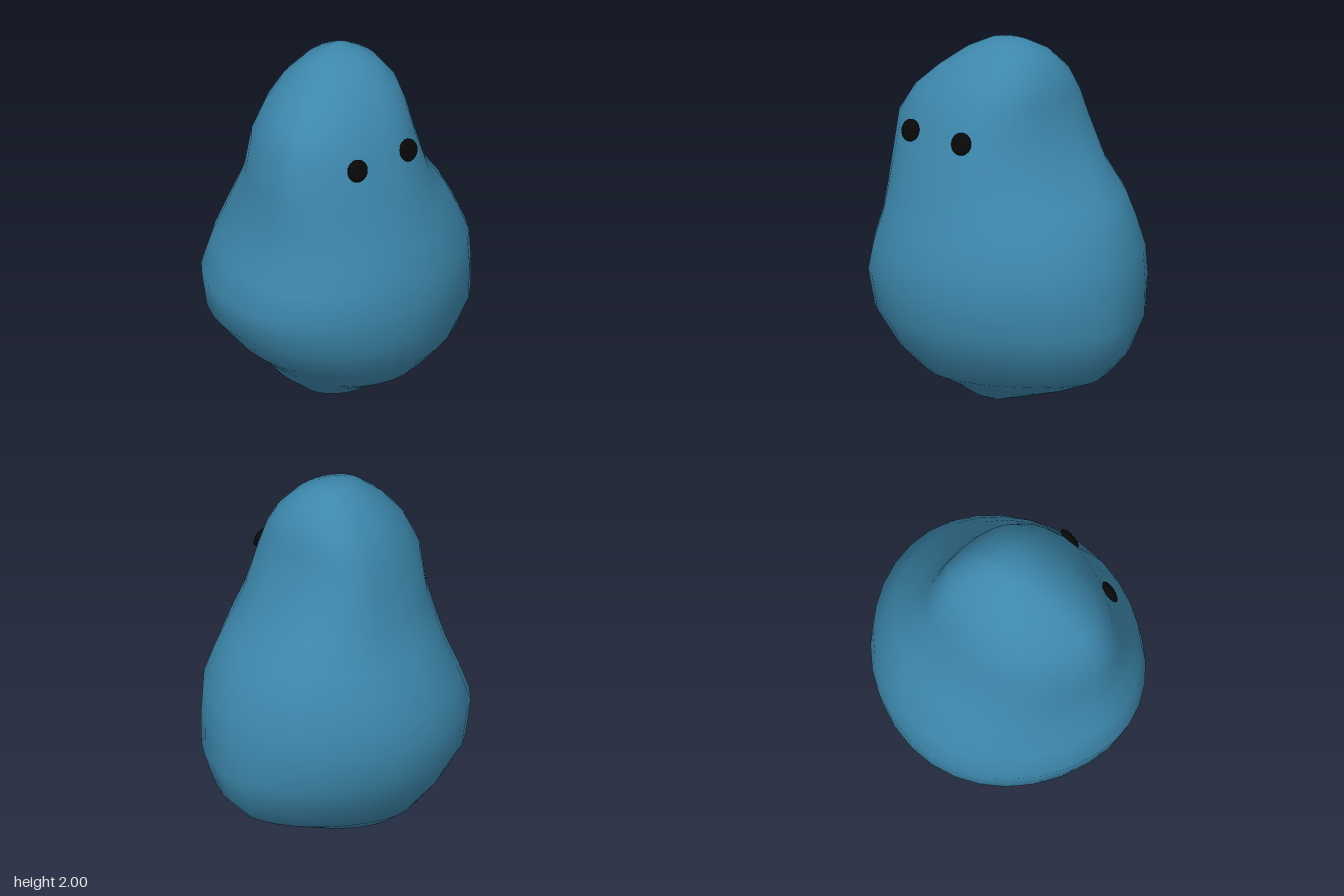
import * as THREE from 'three';
import { mergeVertices } from 'three/addons/utils/BufferGeometryUtils.js';

const SEGMENTS = 32;

// Each ring: height, then its reach to -x, +x, +z and -z
const RINGS = [
  [0, 0, 0, 0, 0],
  [0.01, -0.14, 0.05, 0.14, -0.09],
  [0.045, -0.25, 0.17, 0.225, -0.26],
  [0.12, -0.345, 0.4, 0.335, -0.395],
  [0.2, -0.41, 0.59, 0.49, -0.5],
  [0.33, -0.57, 0.715, 0.61, -0.6],
  [0.51, -0.73, 0.765, 0.69, -0.685],
  [0.7, -0.768, 0.748, 0.708, -0.707],
  [0.86, -0.71, 0.73, 0.695, -0.68],
  [1.02, -0.65, 0.655, 0.645, -0.62],
  [1.16, -0.625, 0.58, 0.602, -0.55],
  [1.32, -0.605, 0.445, 0.555, -0.465],
  [1.55, -0.587, 0.335, 0.485, -0.405],
  [1.7, -0.5, 0.3, 0.42, -0.35],
  [1.82, -0.38, 0.27, 0.335, -0.28],
  [1.93, -0.24, 0.185, 0.225, -0.17],
  [1.985, -0.13, 0.085, 0.12, -0.065],
  [2, 0, 0, 0, 0],
];

// Point on a ring: four rounded quarters joined smoothly at the extremes,
// which drift sideways with height to skew the head and raise a shoulder
function ringPoint([y, left, right, front, back], angle) {
  const { smoothstep } = THREE.MathUtils;
  const head = smoothstep(y, 0.5, 1.8);
  const crown = smoothstep(y, 1.6, 2);
  const underside = 1 - smoothstep(y, 0.1, 0.6);
  const shoulder = Math.exp(-(((y - 1.25) / 0.2) ** 2));
  const skew = 0.12 + head * 0.36 - crown * 0.18;

  const side = -Math.cos(angle), depth = Math.sin(angle);
  const [xSide, zSide] = side < 0
    ? [left, front * skew]
    : [right, back * 0.16 * shoulder + front * 0.1 * smoothstep(y, 1.35, 1.6)];
  const [xEnd, zEnd] = depth > 0
    ? [left * (0.05 + 0.08 * head), front]
    : [right * 0.18 * head, back];

  // A lower power swells the quarter, a higher one planes it off
  const power = side < 0 ? 0.95 : 1.08 - 0.22 * head + 0.14 * underside;
  return [
    xEnd + (xSide - xEnd) * Math.abs(side) ** power,
    y,
    zSide + (zEnd - zSide) * Math.abs(depth) ** power,
  ];
}

// Skin the stacked rings from the base up, closing to a point at both ends
function bodyGeometry() {
  const positions = [], index = [];
  const last = RINGS.length - 2;
  RINGS.forEach((ring, j) => {
    for (let i = 0; i < SEGMENTS; i++) {
      positions.push(...ringPoint(ring, (i / SEGMENTS) * Math.PI * 2));
      const a = j * SEGMENTS + i;
      const b = j * SEGMENTS + ((i + 1) % SEGMENTS);
      const c = b + SEGMENTS, d = a + SEGMENTS;
      if (j > 0 && j <= last) index.push(a, b, c);
      if (j < last) index.push(a, c, d);
    }
  });
  const geometry = new THREE.BufferGeometry();
  geometry.setAttribute('position', new THREE.Float32BufferAttribute(positions, 3));
  geometry.setIndex(index);
  const merged = mergeVertices(geometry, 1e-5);
  merged.computeVertexNormals();
  return merged;
}

export function createModel() {
  const blue = new THREE.MeshStandardMaterial({ color: 0x3d88ad });
  blue.name = 'blue';
  const black = new THREE.MeshStandardMaterial({ color: 0x080808 });
  black.name = 'black';

  const group = new THREE.Group();
  group.name = 'blob';

  const body = new THREE.Mesh(bodyGeometry(), blue);
  body.name = 'body';
  group.add(body);

  // Flattened eyes lying against the sloping face
  const eyeGeometry = new THREE.SphereGeometry(1, 20, 12);
  const addEye = (name, x, z, turn) => {
    const eye = new THREE.Mesh(eyeGeometry, black);
    eye.name = name;
    eye.scale.set(0.065, 0.061, 0.024);
    eye.position.set(x, 1.525, z);
    eye.rotation.set(-0.3, turn, 0);
    group.add(eye);
  };
  addEye('rightEye', -0.28, 0.497, -0.04);
  addEye('leftEye', 0.09, 0.476, 0.12);

  return group;
}
